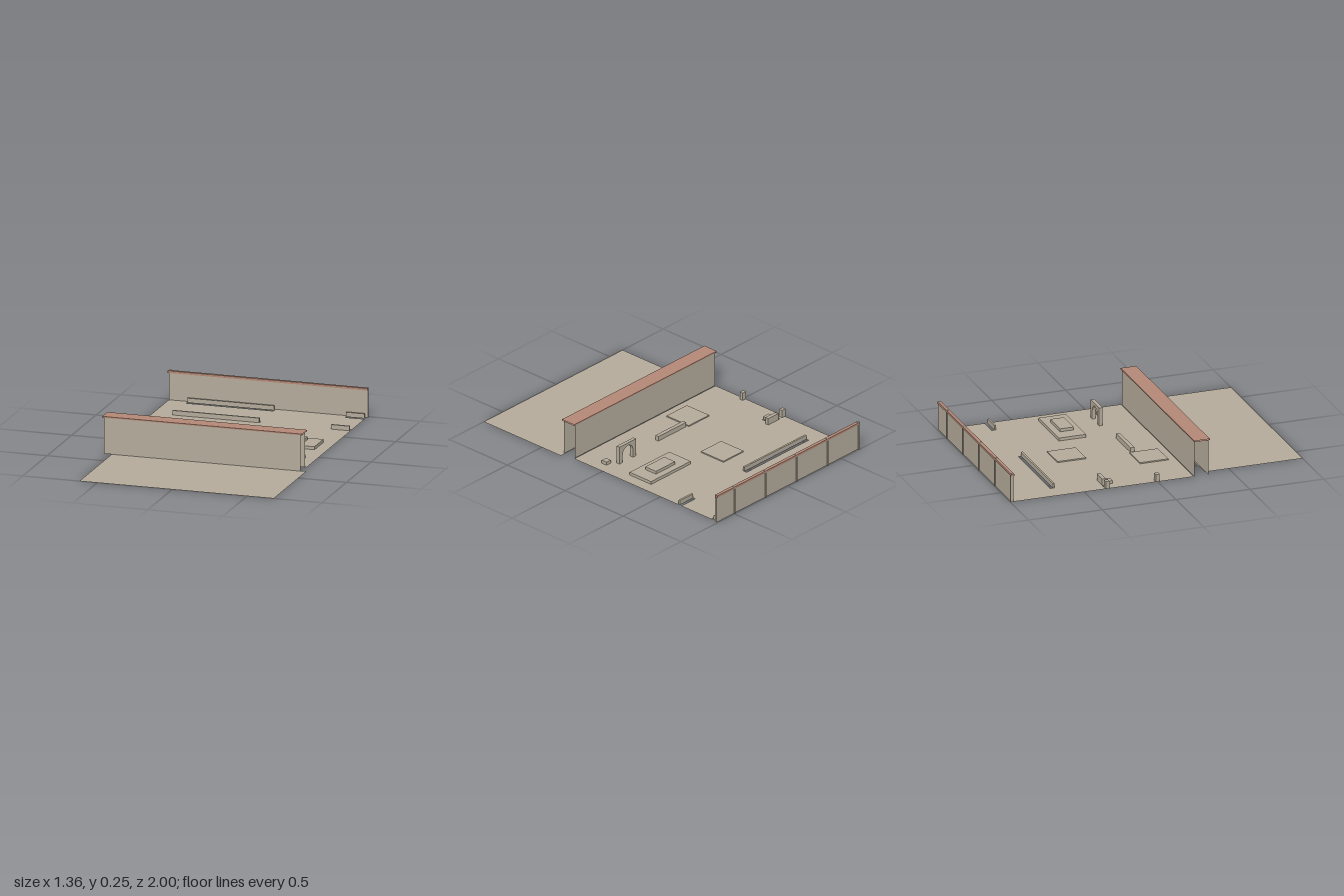
import * as THREE from 'three';

export function createModel() {
  const model = new THREE.Group();
  const stone = new THREE.MeshStandardMaterial({ color: 0xb3aa9a, side: THREE.DoubleSide });
  stone.name = 'stone';
  const tile = new THREE.MeshStandardMaterial({ color: 0xb38876, side: THREE.DoubleSide });
  tile.name = 'roofTile';

  function add(name, geometry, material = stone) {
    const mesh = new THREE.Mesh(geometry, material);
    mesh.name = name;
    model.add(mesh);
    return mesh;
  }

  // Box given by its limits; sides listed in skip (+x -x +y -y +z -z = 0..5) stay open
  function block(name, [x0, x1], [y0, y1], [z0, z1], skip = [], material = stone) {
    const g = new THREE.BoxGeometry(x1 - x0, y1 - y0, z1 - z0);
    const index = Array.from(g.index.array);
    g.setIndex(index.filter((_, i) => !skip.includes(Math.floor(i / 6))));
    g.clearGroups();
    g.translate((x0 + x1) / 2, (y0 + y1) / 2, (z0 + z1) / 2);
    return add(name, g, material);
  }

  const rect = (T, [x0, x1], [z0, z1]) => {
    const p = new T();
    p.moveTo(x0, -z0);
    p.lineTo(x1, -z0);
    p.lineTo(x1, -z1);
    p.lineTo(x0, -z1);
    p.closePath();
    return p;
  };

  // Low hollow blocks: name, x, z, height, and the floor opening where it is larger
  const blocks = [
    ['rearCurb', [-0.54, 0.04], [-0.965, -0.953], 0.03, null, [-0.965, -0.938]],
    ['rearCurbEnd', [0.52, 0.643], [-0.965, -0.953], 0.03, [0.52, 0.648], [-0.965, -0.938]],
    ['middleCurb', [-0.54, 0.04], [-0.663, -0.65], 0.03, null, [-0.68, -0.65]],
    ['middleCurbEnd', [0.52, 0.643], [-0.663, -0.65], 0.03, [0.52, 0.648], [-0.68, -0.65]],
    ['bench', [-0.61, -0.515], [-0.355, -0.33], 0.045, [-0.625, -0.515], null],
    ['step', [-0.6, -0.55], [-0.303, -0.28], 0.02, [-0.6, -0.542], null],
    ['frontBench', [-0.145, 0.115], [0.012, 0.038], 0.032, null, null],
    ['smallBlock', [0.535, 0.575], [0.035, 0.077], 0.022, null, null],
    ['platformBase', [0.2, 0.57], [-0.345, -0.16], 0.02, null, null],
  ];

  // Courtyard floor with openings under the hollow blocks
  const yard = rect(THREE.Shape, [-0.672, 0.65], [-0.985, 0.245]);
  for (const [name, x, z, h, holeX, holeZ] of blocks) {
    block(name, x, [0, h], z, [3]);
    yard.holes.push(rect(THREE.Path, holeX || x, holeZ || z));
  }
  add('courtyardFloor', new THREE.ShapeGeometry(yard).rotateX(-Math.PI / 2));
  add('frontGround', new THREE.ShapeGeometry(rect(THREE.Shape, [-0.62, 0.678], [0.335, 1]))
    .rotateX(-Math.PI / 2));

  // Raised platform and paved slabs
  block('platformTop', [0.298, 0.476], [0.02, 0.04], [-0.3, -0.208], [3]);
  block('rearSlab', [-0.145, 0.043], [0, 0.008], [-0.483, -0.29], [3]);
  block('frontSlab', [-0.347, -0.157], [0, 0.008], [0, 0.192], [3]);

  // Short posts on the side edge
  for (const [z0, z1] of [[-0.355, -0.33], [-0.015, 0.01]]) {
    block('edgePost', [-0.677, -0.645], [0, 0.052], [z0, z1], [3]);
  }

  // Free-standing arch
  const arch = new THREE.Shape();
  arch.moveTo(0.352, 0);
  arch.lineTo(0.382, 0);
  arch.lineTo(0.382, 0.055);
  arch.absarc(0.43, 0.055, 0.048, Math.PI, 0, true);
  arch.lineTo(0.478, 0);
  arch.lineTo(0.508, 0);
  arch.lineTo(0.508, 0.122);
  arch.lineTo(0.352, 0.122);
  arch.closePath();
  add('arch', new THREE.ExtrudeGeometry(arch, { depth: 0.024, bevelEnabled: false, curveSegments: 8 })
    .translate(0, 0, -0.015));

  // Front wall: two faces with open ends, under a tiled roof strip
  block('frontWall', [-0.671, 0.641], [0, 0.239], [0.248, 0.342], [0, 1, 2, 3]);
  block('frontWallRoof', [-0.681, 0.653], [0.239, 0.247], [0.243, 0.349], [0, 1], tile);

  // Rear wall with posts and a tiled cap
  block('rearWall', [-0.672, 0.658], [0, 0.178], [-0.993, -0.98]);
  for (let i = 0; i < 5; i++) {
    const x = -0.667 + i * 0.29;
    block('rearWallPost', [x - 0.005, x + 0.005], [0, 0.194], [-1, -0.979]);
  }
  block('rearWallCap', [-0.679, 0.655], [0.178, 0.192], [-0.998, -0.976], [], tile);

  return model;
}
